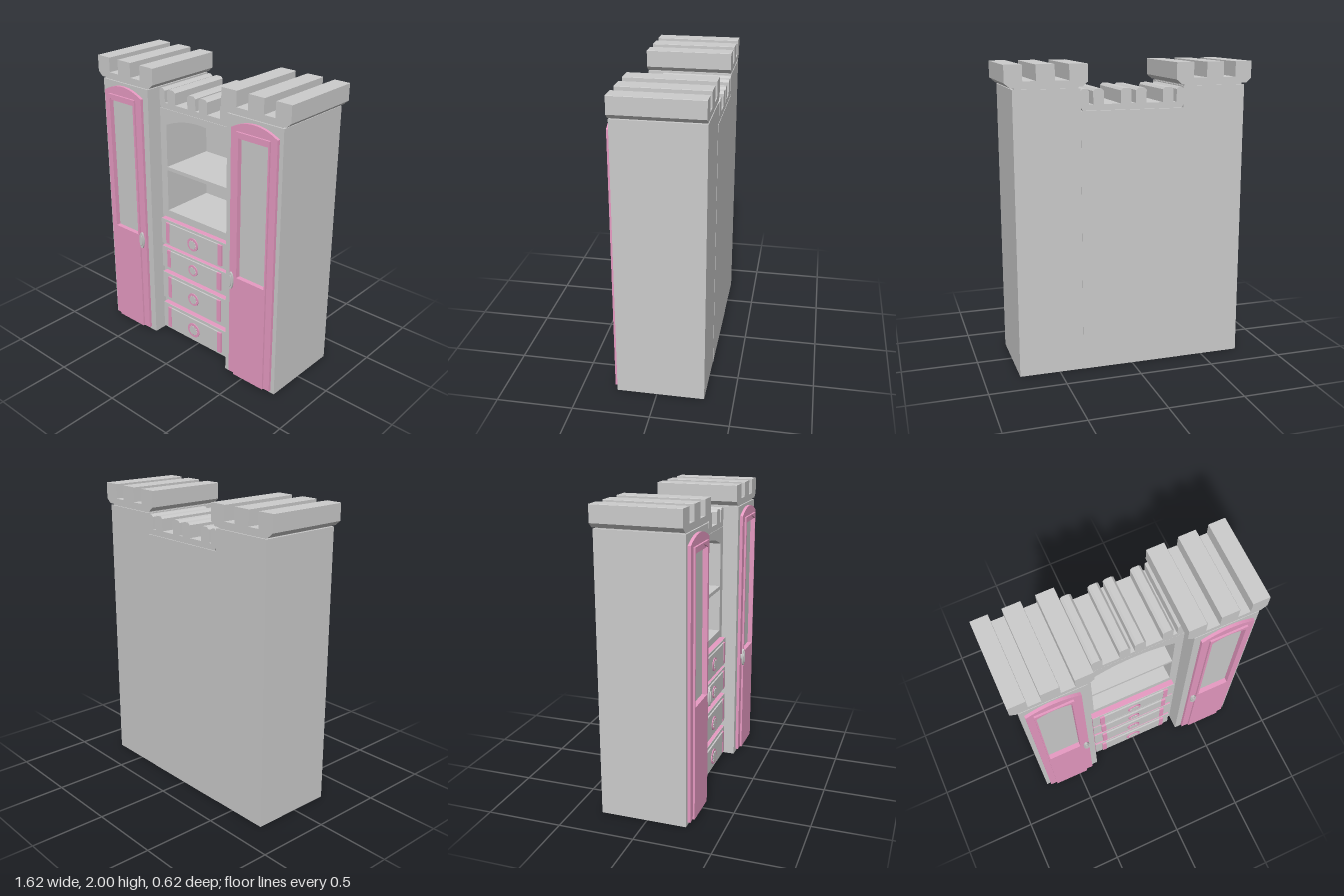
import * as THREE from 'three';

const grey = new THREE.MeshStandardMaterial({ color: 0xcccccc });
const pink = new THREE.MeshStandardMaterial({ color: 0xe79ac2 });
const BACK = -0.31, TOWER_FRONT = 0.262, CENTRE_FRONT = 0.155;

function add(parent, name, geometry, material = grey) {
  const mesh = new THREE.Mesh(geometry, material);
  mesh.name = name;
  parent.add(mesh);
  return mesh;
}

// Box given by its limits on each axis
function box(x0, x1, y0, y1, z0, z1) {
  return new THREE.BoxGeometry(x1 - x0, y1 - y0, z1 - z0)
    .translate((x0 + x1) / 2, (y0 + y1) / 2, (z0 + z1) / 2);
}

// Flat outline pushed from z0 to z1
function slab(shape, z0, z1) {
  return new THREE.ExtrudeGeometry(shape, { depth: z1 - z0, bevelEnabled: false, curveSegments: 16 })
    .translate(0, 0, z0);
}

// Rectangle whose top edge is an arch from shoulder height to apex height
function arched(x0, x1, y0, shoulder, apex, Type = THREE.Shape) {
  const s = new Type();
  s.moveTo(x0, y0);
  s.lineTo(x1, y0);
  s.lineTo(x1, shoulder);
  if (apex > shoulder) s.quadraticCurveTo((x0 + x1) / 2, 2 * apex - shoulder, x0, shoulder);
  else s.lineTo(x0, shoulder);
  s.closePath();
  return s;
}

function polygon(points) {
  return new THREE.Shape(points.map(([x, y]) => new THREE.Vector2(x, y)));
}

// Battlement outline: chamfered base plus merlons [x0, x1] with cut corners
function battlement(merlons, bottom, lip, notch, top, inset, cut) {
  const first = merlons[0][0], last = merlons[merlons.length - 1][1];
  const pts = [[first, lip], [first + inset, bottom], [last - inset, bottom], [last, lip]];
  for (const [a, b] of [...merlons].reverse()) {
    pts.push([b, notch], [b, top - cut], [b - cut, top], [a + cut, top], [a, top - cut], [a, notch]);
  }
  return polygon(pts);
}

// One tower with door; side = 1 is the model's left, -1 its right
function tower(side) {
  const g = new THREE.Group();
  g.name = side > 0 ? 'leftTower' : 'rightTower';
  const span = (a, b) => (side > 0 ? [a, b] : [-b, -a]);

  add(g, 'towerBody', box(...span(0.34, 0.765), 0, 1.85, BACK, TOWER_FRONT));
  add(g, 'towerNeck', box(...span(0.35, 0.75), 1.85, 1.862, BACK + 0.01, TOWER_FRONT - 0.01));

  const merlons = [span(0.293, 0.41), span(0.50, 0.617), span(0.70, 0.812)];
  if (side < 0) merlons.reverse();
  add(g, 'towerBattlement',
    slab(battlement(merlons, 1.86, 1.89, 1.90, 2, 0.035, 0.002), BACK, TOWER_FRONT));

  // Outer door leaf with an arched head
  const leaf = arched(...span(0.388, 0.737), 0.02, 1.78, 1.83);
  leaf.holes.push(arched(...span(0.455, 0.68), 0.78, 1.72, 1.72, THREE.Path));
  add(g, 'doorLeaf', slab(leaf, TOWER_FRONT, 0.282), pink);

  // Raised panel framing the arched window
  const panel = arched(...span(0.44, 0.69), 0.02, 1.765, 1.765);
  panel.holes.push(arched(...span(0.455, 0.68), 0.78, 1.725, 1.757, THREE.Path));
  add(g, 'doorPanel', slab(panel, 0.282, 0.295), pink);

  // Oval handle on a short stem
  const handle = new THREE.Group();
  handle.name = 'doorHandle';
  handle.position.set(side * 0.412, 0.75, 0);
  const oval = (rx, ry, z0, z1) =>
    new THREE.CylinderGeometry(rx, rx, z1 - z0, 20).rotateX(Math.PI / 2)
      .scale(1, ry / rx, 1).translate(0, 0, (z0 + z1) / 2);
  add(handle, 'handleStem', oval(0.01, 0.02, 0.28, 0.296));
  add(handle, 'handlePlate', oval(0.021, 0.062, 0.294, 0.306));
  add(handle, 'handleGrip', oval(0.012, 0.042, 0.306, 0.312));
  g.add(handle);
  return g;
}

// Drawer: pink-edged front, raised panel with pink ends, round knob
function drawer({ y0, y1, p0, p1, half, knob }) {
  const g = new THREE.Group();
  g.name = 'drawer';
  add(g, 'drawerBoard', box(-0.315, 0.30, y0, y1, CENTRE_FRONT, 0.193), pink);
  add(g, 'drawerFace', box(-0.315, 0.30, y0, y1, 0.193, 0.196));
  const c = -0.006;
  add(g, 'drawerPanel', box(c - half + 0.032, c + half - 0.032, p0, p1, 0.196, 0.207));
  for (const s of [-1, 1]) {
    const a = c + s * half, b = c + s * (half - 0.032);
    add(g, 'panelEnd', box(Math.min(a, b), Math.max(a, b), p0, p1, 0.196, 0.209), pink);
  }

  const y = (p0 + p1) / 2 - 0.005;
  const disc = new THREE.CylinderGeometry(knob, knob, 0.006, 28).rotateX(Math.PI / 2);
  add(g, 'knobRing', disc, pink).position.set(c, y, 0.210);
  const teeth = [];
  for (let i = 0; i < 24; i++) {
    const r = knob * (i % 2 ? 0.56 : 0.72), t = (i / 24) * Math.PI * 2;
    teeth.push([r * Math.cos(t), r * Math.sin(t)]);
  }
  add(g, 'knob', slab(polygon(teeth), 0.212, 0.217)).position.set(c, y, 0);
  return g;
}

function centre() {
  const g = new THREE.Group();
  g.name = 'centreCabinet';

  // Cabinet front with two open shelf bays, closed by a back board
  const front = arched(-0.34, 0.34, 0, 1.71, 1.71);
  front.holes.push(
    arched(-0.285, 0.283, 0.975, 1.275, 1.275, THREE.Path),
    arched(-0.285, 0.283, 1.30, 1.60, 1.665, THREE.Path));
  add(g, 'cabinetBody', slab(front, -0.235, CENTRE_FRONT));
  add(g, 'backBoard', box(-0.34, 0.34, 0, 1.71, -0.312, -0.235));

  const merlons = [[-0.342, -0.293], [-0.27, -0.20], [-0.09, -0.02],
    [0.01, 0.08], [0.19, 0.26], [0.288, 0.342]];
  add(g, 'centreBattlement',
    slab(battlement(merlons, 1.712, 1.735, 1.75, 1.845, 0.015, 0.014), BACK, CENTRE_FRONT));

  const drawers = [
    { y0: 0.73, y1: 0.922, p0: 0.75, p1: 0.905, half: 0.256, knob: 0.048 },
    { y0: 0.542, y1: 0.705, p0: 0.56, p1: 0.69, half: 0.25, knob: 0.042 },
    { y0: 0.285, y1: 0.495, p0: 0.308, p1: 0.475, half: 0.247, knob: 0.048 },
    { y0: 0.032, y1: 0.238, p0: 0.055, p1: 0.217, half: 0.256, knob: 0.055 },
  ];
  for (const d of drawers) g.add(drawer(d));
  return g;
}

export function createModel() {
  const model = new THREE.Group();
  model.name = 'castleCabinet';
  model.add(tower(1), tower(-1), centre());
  return model;
}
